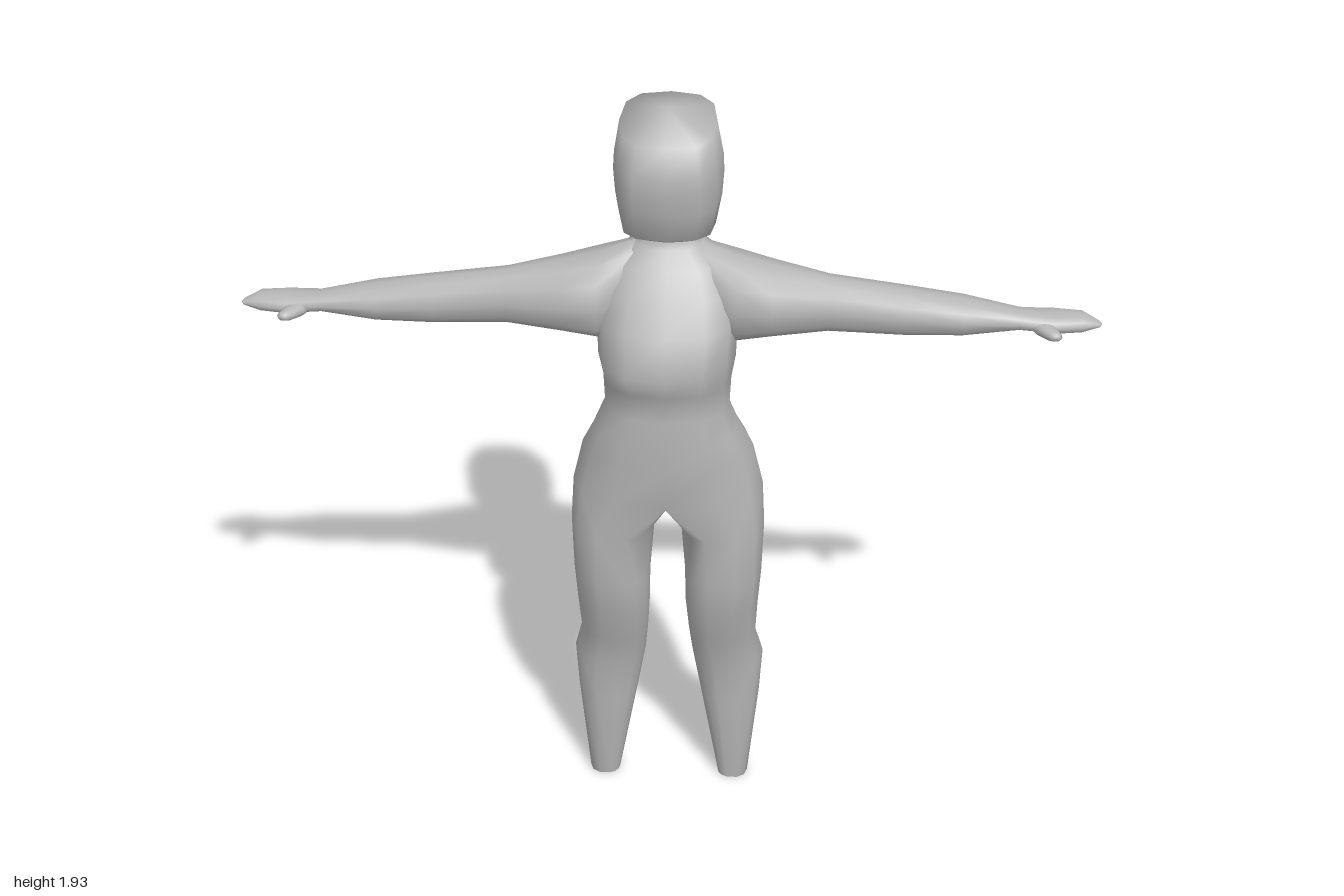
import * as THREE from 'three';
import { mergeVertices } from 'three/addons/utils/BufferGeometryUtils.js';

const N = 12;
const pow = (v, e) => (Math.abs(v) < 1e-9 ? 0 : Math.sign(v) * Math.abs(v) ** e);
const mid = (a, b) => (a + b) / 2;

// Closed ring: place(c, s) turns the rounded unit outline into a 3D point
function ring(place, e = 0.85, angle = (i) => (i / N) * Math.PI * 2) {
  return Array.from({ length: N }, (_, i) =>
    place(pow(Math.cos(angle(i)), e), pow(Math.sin(angle(i)), e)));
}

// Triangles of a skin through the rings; start and end are optional cap points
function loft(rings, start, end) {
  const tris = [];
  for (let i = 0; i < N; i++) {
    const k = (i + 1) % N;
    for (let j = 0; j < rings.length - 1; j++) {
      const [a, b, c, d] = [rings[j][i], rings[j][k], rings[j + 1][k], rings[j + 1][i]];
      tris.push([a, b, c], [a, c, d]);
    }
    const last = rings[rings.length - 1];
    if (start) tris.push([start, rings[0][k], rings[0][i]]);
    if (end) tris.push([end, last[i], last[k]]);
  }
  return tris;
}

const mirror = (tris) => tris.map((t) => t.map(([x, y, z]) => [-x, y, z]).reverse());

function skin(name, tris, material) {
  const g = new THREE.BufferGeometry();
  g.setAttribute('position', new THREE.Float32BufferAttribute(tris.flat(2), 3));
  const welded = mergeVertices(g, 1e-4);
  welded.computeVertexNormals();
  const mesh = new THREE.Mesh(welded, material);
  mesh.name = name;
  return mesh;
}

// Upright ring: height, half width, front z, back z, tilt along z
const level = ([y, w, zf, zb, tilt = 0], e) => ring((c, s) => {
  const z = mid(zf, zb) + (c * (zf - zb)) / 2;
  return [w * s, y + tilt * z, z];
}, e);

export function createModel() {
  const group = new THREE.Group();
  const grey = new THREE.MeshStandardMaterial({ color: 0xb8b8b8 });
  grey.name = 'body grey';

  // Torso from hips to neck
  const torso = [
    [0.95, 0.23, 0.125, -0.148],
    [1.06, 0.205, 0.133, -0.143],
    [1.13, 0.175, 0.138, -0.1],
    [1.2, 0.147, 0.138, -0.087],
    [1.265, 0.15, 0.138, -0.092],
    [1.335, 0.16, 0.184, -0.1],
    [1.42, 0.163, 0.14, -0.12],
    [1.49, 0.16, 0.097, -0.122],
    [1.55, 0.13, 0.056, -0.12],
    [1.585, 0.08, 0.015, -0.118],
    [1.605, 0.072, 0, -0.118],
    [1.66, 0.07, 0, -0.115],
  ].map((r) => level(r));

  // Legs share the hip ring and meet along an arched crotch line
  const legAngle = (i) => THREE.MathUtils.degToRad(
    i <= 6 ? -20 + (i * 220) / 6 : 200 + ((i - 6) * 140) / 6);
  const hip = torso[0];
  const legTop = hip.slice(0, 7);
  for (let i = 1; i <= 5; i++) {
    const t = i / 6;
    legTop.push([0, 0.95 - 0.06 * Math.sin(t * Math.PI), hip[6][2] + (hip[0][2] - hip[6][2]) * t]);
  }
  // height, inner x, outer x, front z, back z
  const leg = [
    [0, 0.13, 0.208, -0.02, -0.092],
    [0.27, 0.082, 0.234, 0, -0.13],
    [0.4, 0.06, 0.241, 0.015, -0.138],
    [0.49, 0.052, 0.221, 0.042, -0.105],
    [0.6, 0.045, 0.225, 0.077, -0.07],
    [0.7, 0.043, 0.232, 0.098, -0.088],
    [0.84, 0.032, 0.236, 0.105, -0.105],
  ].map(([y, xi, xo, zf, zb]) => ring((c, s) =>
    [mid(xi, xo) + (s * (xo - xi)) / 2, y, mid(zf, zb) + (c * (zf - zb)) / 2], 0.9, legAngle));
  const legSkin = loft([...leg, legTop], [0.169, 0, -0.056]);
  group.add(skin('torsoAndLegs', [...loft(torso), ...legSkin, ...mirror(legSkin)], grey));

  // Head, flat in front with a shallow crown
  const head = [
    [1.622, 0.065, 0.045, -0.105],
    [1.642, 0.108, 0.079, -0.122],
    [1.71, 0.121, 0.094, -0.162],
    [1.765, 0.125, 0.107, -0.177],
    [1.805, 0.123, 0.102, -0.186],
    [1.885, 0.109, 0.09, -0.14, -0.16],
  ].map((r) => level(r, 0.72));
  group.add(skin('head', loft(head, [0, 1.622, -0.03], [0, 1.928, -0.005]), grey));

  // Arm and hand: x, top y, bottom y, front z, back z
  const arm = [
    [0.07, 1.588, 1.36, 0.03, -0.11],
    [0.16, 1.565, 1.36, 0.085, -0.115],
    [0.24, 1.545, 1.375, 0.08, -0.098],
    [0.37, 1.517, 1.387, 0.05, -0.066],
    [0.545, 1.488, 1.377, 0.039, -0.072],
    [0.68, 1.466, 1.379, 0.034, -0.072],
    [0.81, 1.437, 1.393, 0.014, -0.057],
    [0.89, 1.43, 1.386, 0.018, -0.072],
    [0.955, 1.428, 1.386, 0.004, -0.063],
    [0.995, 1.411, 1.399, -0.012, -0.033],
  ].map(([x, yt, yb, zf, zb]) => ring((c, s) =>
    [x, mid(yt, yb) + (c * (yt - yb)) / 2, mid(zf, zb) + (s * (zf - zb)) / 2]));
  const armSkin = loft(arm, null, [1, 1.405, -0.022]);

  // Thumb: z, centre x, half width, half height
  const thumb = [
    [-0.02, 0.855, 0.03, 0.014],
    [0.02, 0.868, 0.024, 0.015],
    [0.045, 0.885, 0.018, 0.012],
    [0.054, 0.888, 0.01, 0.007],
  ].map(([z, x, w, h]) => ring((c, s) => [x + c * w, 1.406 + s * h, z]));
  const thumbSkin = loft(thumb, null, [0.888, 1.406, 0.056]);

  for (const [side, place] of [['left', (t) => t], ['right', mirror]]) {
    group.add(skin(side + 'Arm', place(armSkin), grey));
    group.add(skin(side + 'Thumb', place(thumbSkin), grey));
  }
  return group;
}
